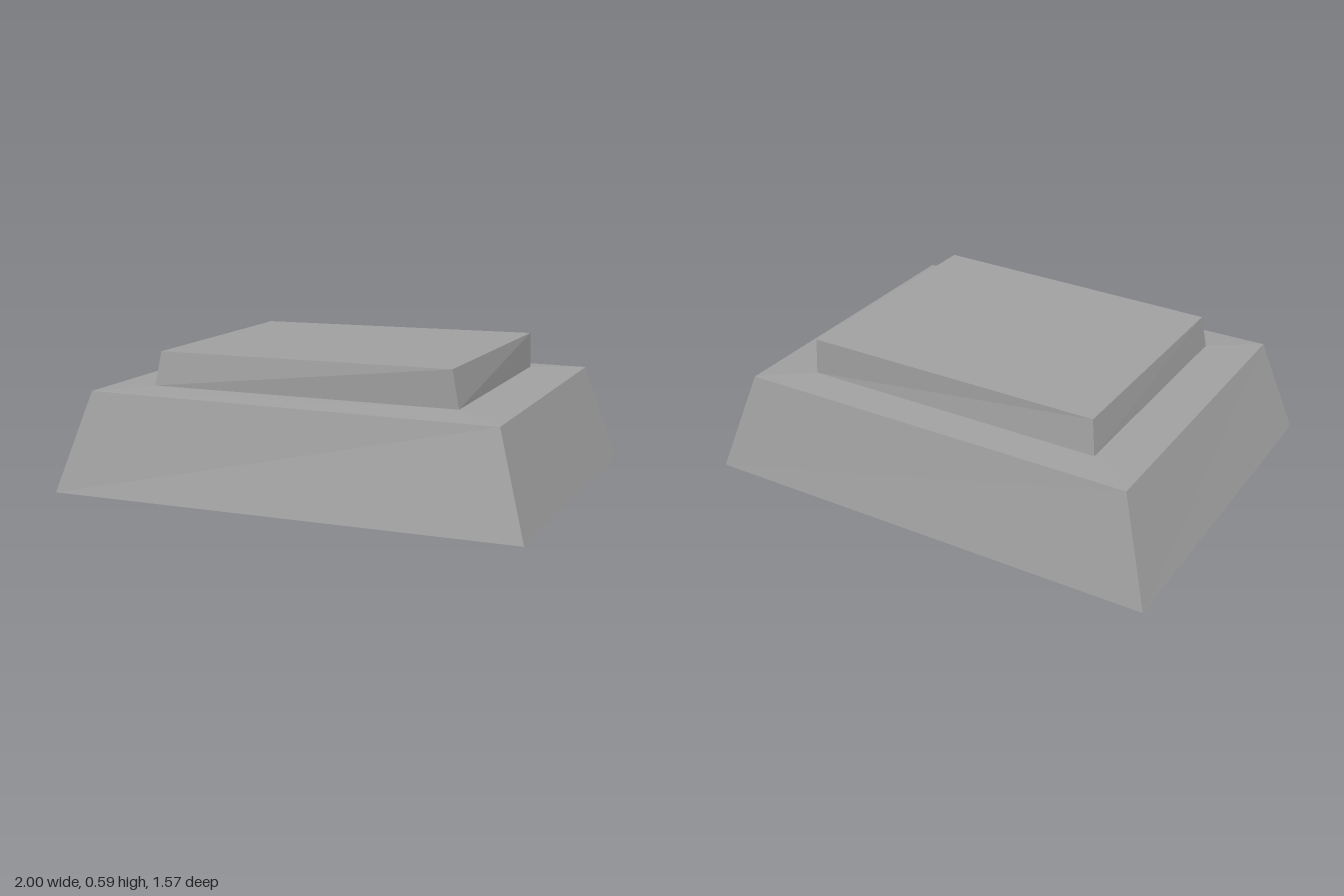
import * as THREE from 'three';

// Closed flat-shaded solid through four-cornered rings, listed from bottom to top.
// Corner order: front right, front left, back left, back right (model's own sides).
function loft(rings) {
  const positions = [];
  const quad = (a, b, c, d) => positions.push(...a, ...b, ...c, ...a, ...c, ...d);
  for (let r = 0; r < rings.length - 1; r++) {
    const lower = rings[r], upper = rings[r + 1];
    for (let i = 0; i < 4; i++) {
      const j = (i + 1) % 4;
      quad(lower[i], lower[j], upper[j], upper[i]);
    }
  }
  const [p, q, s, t] = rings[0];
  quad(t, s, q, p);
  quad(...rings[rings.length - 1]);
  const geometry = new THREE.BufferGeometry();
  geometry.setAttribute('position', new THREE.Float32BufferAttribute(positions, 3));
  geometry.computeVertexNormals();
  return geometry;
}

export function createModel() {
  const stone = new THREE.MeshStandardMaterial({ color: 0xa2a2a2 });
  stone.name = 'grey stone';

  // Slightly uneven corners give the worn look
  const foot = [[-1, 0.003, 0.77], [1, 0.015, 0.78], [1, 0, -0.775], [-1, 0, -0.785]];
  const shoulder = [[-0.865, 0.425, 0.68], [0.872, 0.42, 0.68], [0.865, 0.427, -0.68], [-0.865, 0.43, -0.685]];
  const ledge = [[-0.66, 0.435, 0.52], [0.66, 0.435, 0.51], [0.648, 0.437, -0.535], [-0.66, 0.437, -0.54]];
  const crown = [[-0.64, 0.577, 0.5], [0.632, 0.588, 0.512], [0.645, 0.59, -0.528], [-0.637, 0.578, -0.515]];

  const model = new THREE.Group();
  model.name = 'steppedBlock';

  // Wide sloping base with a gently rising ledge
  const base = new THREE.Mesh(loft([foot, shoulder, ledge]), stone);
  base.name = 'base';

  // Smaller slab on top
  const slab = new THREE.Mesh(loft([ledge, crown]), stone);
  slab.name = 'topSlab';

  model.add(base, slab);
  return model;
}
